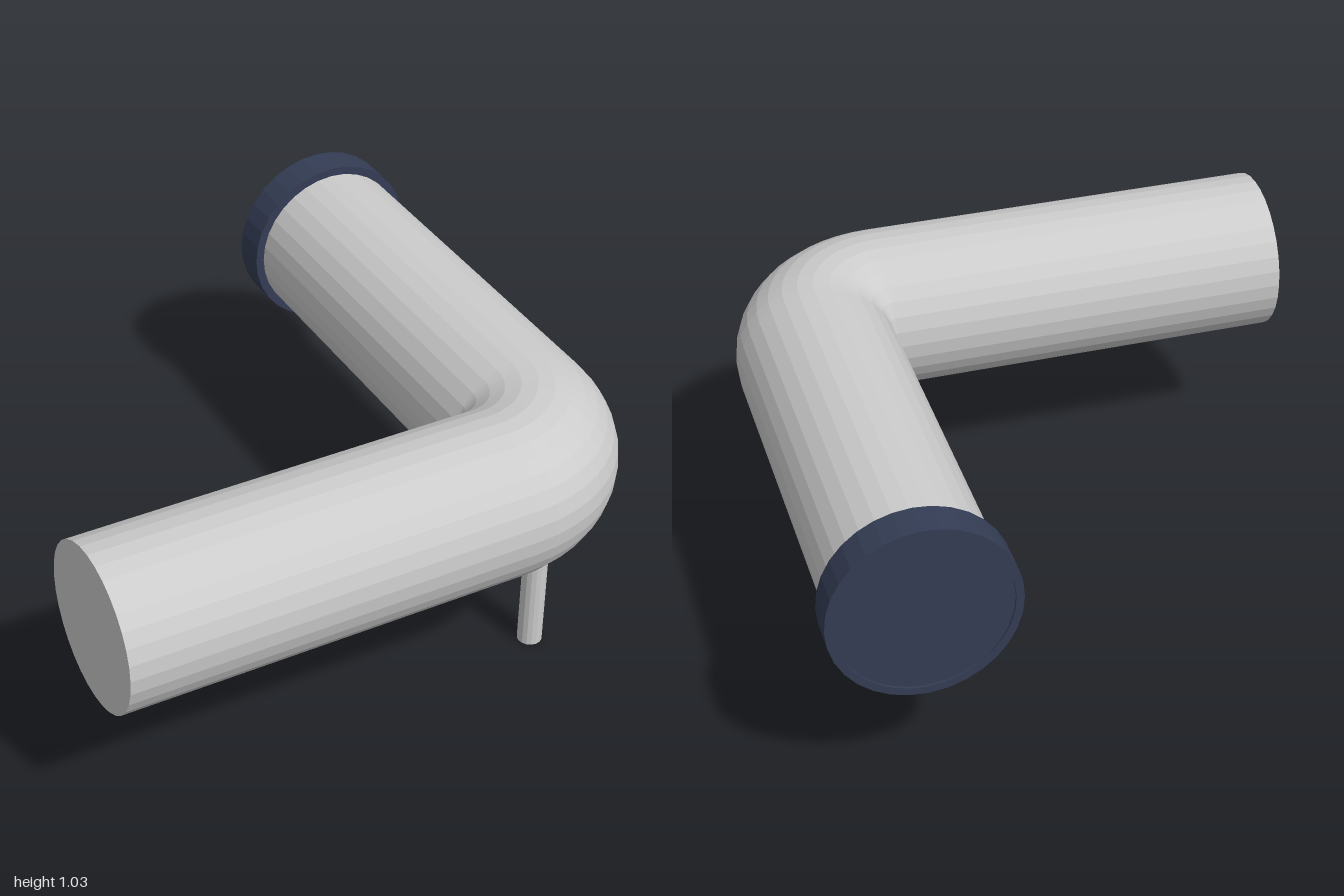
import * as THREE from 'three';

const R = 0.278;          // pipe radius
const BEND = 0.28;        // centre-line radius of the elbow
const SIDES = 32;
const Y = 0.725;          // height of the pipe axis
const PX = 0.41, PZ = 0.435; // pivot of the elbow

export function createModel() {
  const group = new THREE.Group();
  const grey = new THREE.MeshStandardMaterial({ color: 0xcccccc, flatShading: true });
  const navy = new THREE.MeshStandardMaterial({ color: 0x343d55, flatShading: true });

  const add = (name, geometry, material, x, y, z) => {
    const mesh = new THREE.Mesh(geometry, material);
    mesh.name = name;
    mesh.position.set(x, y, z);
    group.add(mesh);
  };

  // straight arm running sideways, closed at its far end
  const sideLength = PX + 1;
  add('sideArm', new THREE.CylinderGeometry(R, R, sideLength, SIDES).rotateZ(Math.PI / 2),
    grey, PX - sideLength / 2, Y, PZ + BEND);

  // straight arm running to the back
  const backLength = PZ + 0.98;
  add('backArm', new THREE.CylinderGeometry(R, R, backLength, SIDES).rotateX(Math.PI / 2),
    grey, PX + BEND, Y, PZ - backLength / 2);

  // quarter-turn elbow joining the arms
  add('elbow', new THREE.TorusGeometry(BEND, R, SIDES, 12, Math.PI / 2).rotateX(Math.PI / 2),
    grey, PX, Y, PZ);

  // end cap: a collar with a slightly recessed end face
  const capProfile = [[R - 0.01, 0], [0.308, 0], [0.308, 0.12], [0.282, 0.12], [0.282, 0.112], [0, 0.112]]
    .map(([r, h]) => new THREE.Vector2(r, h));
  add('endCap', new THREE.LatheGeometry(capProfile, SIDES).rotateX(-Math.PI / 2),
    navy, PX + BEND, Y, -0.88);

  // thin post under the elbow
  add('supportPost', new THREE.CylinderGeometry(0.043, 0.043, 0.48, 16), grey, 0.63, 0.24, 0.67);

  return group;
}
